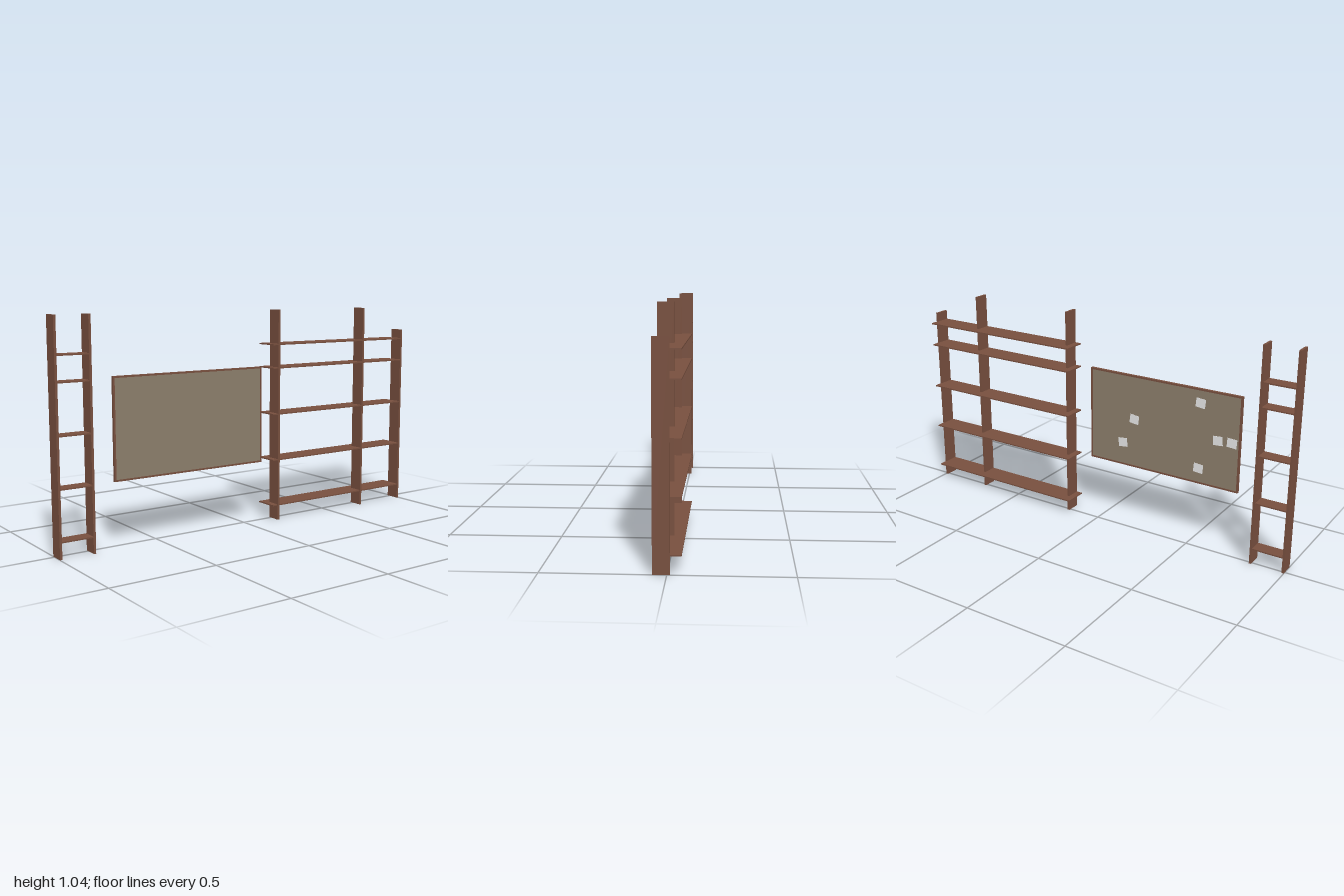
import * as THREE from 'three';

export function createModel() {
  const model = new THREE.Group();
  const wood = new THREE.MeshStandardMaterial({ name: 'brown wood', color: 0x774f3e });
  const cork = new THREE.MeshStandardMaterial({ name: 'tan board', color: 0x8b7d6b });
  const paper = new THREE.MeshStandardMaterial({ name: 'white paper', color: 0xe6e6e6 });

  // Box given by its extents along each axis
  const box = (parent, name, material, [x0, x1], [y0, y1], [z0, z1]) => {
    const mesh = new THREE.Mesh(new THREE.BoxGeometry(x1 - x0, y1 - y0, z1 - z0), material);
    mesh.position.set((x0 + x1) / 2, (y0 + y1) / 2, (z0 + z1) / 2);
    mesh.name = name;
    parent.add(mesh);
    return mesh;
  };
  const group = (name) => {
    const g = new THREE.Group();
    g.name = name;
    model.add(g);
    return g;
  };

  const postX = [-0.012, 0.057];
  const shelfHeights = [0.075, 0.303, 0.53, 0.756, 0.87];

  // A rack: upright posts [z, height] with shelves at common heights
  const rack = (name, posts, shelfX, shelfZ) => {
    const g = group(name);
    for (const [z, h] of posts) box(g, 'post', wood, postX, [0, h], [z - 0.0055, z + 0.0055]);
    for (const y of shelfHeights) box(g, 'shelf', wood, shelfX, [y - 0.003, y + 0.003], shelfZ);
  };
  rack('narrowRack', [[0.9945, 1.037], [0.836, 1.037]], [-0.0115, 0.0565], [0.836, 0.99]);
  rack('wideRack', [[-0.171, 1.037], [-0.72, 1.037], [-0.9945, 0.918]], [-0.057, 0.0565], [-0.993, -0.135]);

  // Pin board with a thin frame
  const board = group('pinBoard');
  const fx = [0.041, 0.055], y0 = 0.304, y1 = 0.768, z0 = -0.065, z1 = 0.731, w = 0.008;
  box(board, 'panel', cork, [0.043, 0.053], [y0 + w, y1 - w], [z0 + w, z1 - w]);
  for (const y of [y0, y1 - w]) box(board, 'frameRail', wood, fx, [y, y + w], [z0, z1]);
  for (const z of [z0, z1 - w]) box(board, 'frameStile', wood, fx, [y0 + w, y1 - w], [z, z + w]);

  // Paper notes pinned to the panel, each slightly tilted
  const notes = [
    [0.527, 0.70, 0.1], [0.62, 0.537, -0.08], [0.69, 0.54, 0.06],
    [0.18, 0.55, 0.12], [0.527, 0.38, 0.08], [0.118, 0.42, -0.1],
  ];
  for (const [z, y, tilt] of notes) {
    const note = box(board, 'note', paper, [0.0415, 0.043], [y - 0.022, y + 0.022], [z - 0.024, z + 0.024]);
    note.rotation.x = tilt;
  }

  return model;
}
